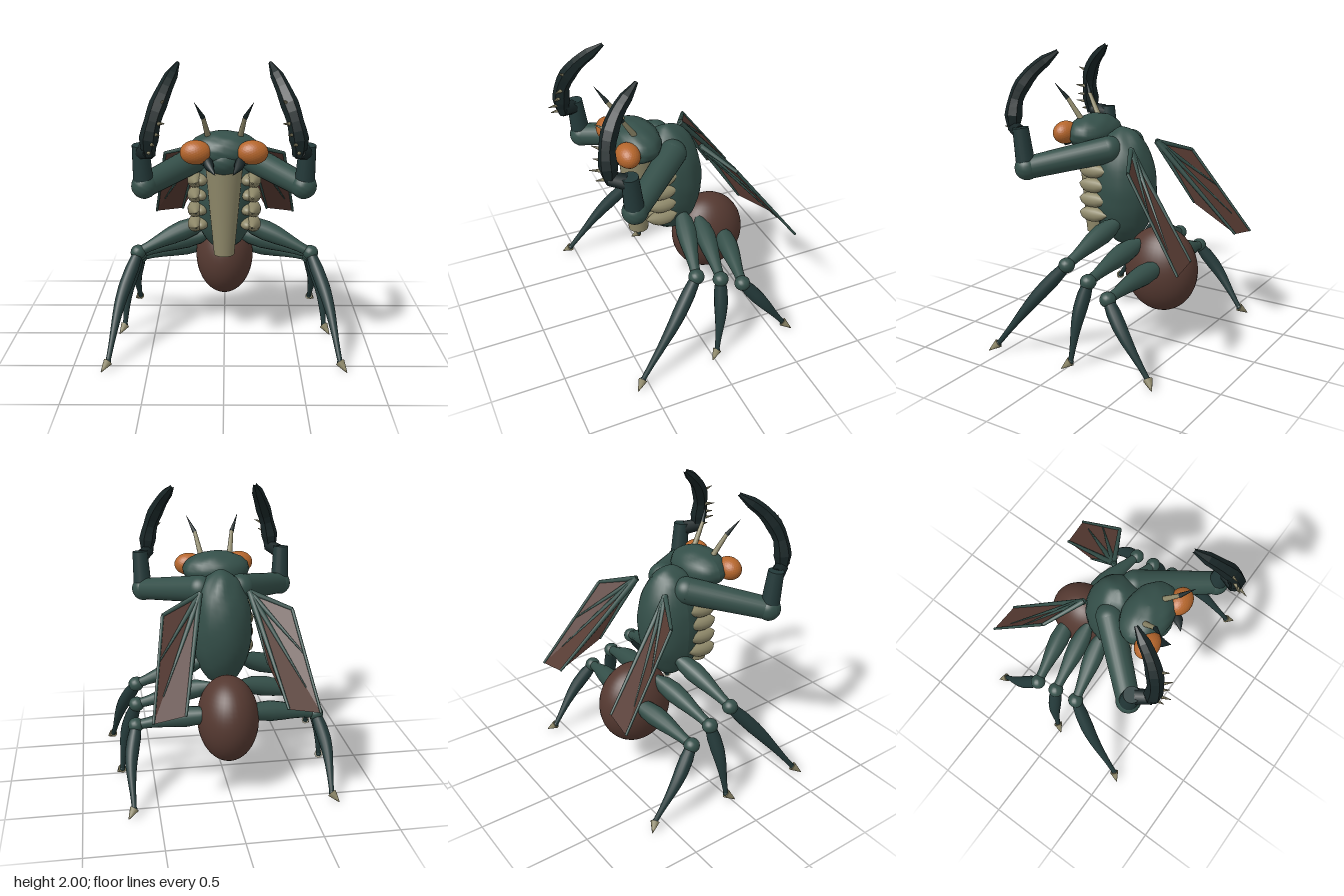
import * as THREE from 'three';

const paint = (name, color) => {
  const m = new THREE.MeshStandardMaterial({ color });
  m.name = name;
  return m;
};
const V = (x, y, z) => new THREE.Vector3(x, y, z);

export function createModel() {
  const shell = paint('green shell', 0x344f49);
  const limbDark = paint('dark limb', 0x243a3a);
  const clawDark = paint('claw black', 0x182526);
  const brown = paint('brown', 0x553931);
  brown.side = THREE.DoubleSide;
  const bone = paint('bone', 0x8f896a);
  const orange = paint('eye orange', 0xb5662c);

  const model = new THREE.Group();
  model.name = 'mantisCreature';

  const add = (name, geometry, material, parent = model) => {
    const mesh = new THREE.Mesh(geometry, material);
    mesh.name = name;
    parent.add(mesh);
    return mesh;
  };

  const facet = (g) => {
    const flat = g.index ? g.toNonIndexed() : g;
    flat.computeVertexNormals();
    return flat;
  };

  // Ellipsoid with optional lumpy surface
  const blob = (c, r, lump = 0) => {
    const g = new THREE.SphereGeometry(1, 36, 26);
    const p = g.attributes.position;
    const v = V(0, 0, 0);
    for (let i = 0; i < p.count; i++) {
      v.fromBufferAttribute(p, i);
      const n = Math.sin(v.x * 9 + v.y * 5) * Math.sin(v.y * 11 - v.z * 4) + Math.sin(v.z * 10 + v.x * 6) * 0.6;
      v.multiplyScalar(1 + lump * n);
      p.setXYZ(i, v.x * r[0] + c[0], v.y * r[1] + c[1], v.z * r[2] + c[2]);
    }
    if (lump) g.computeVertexNormals();
    else g.copy(new THREE.SphereGeometry(1, 36, 26).scale(...r).translate(...c));
    return g;
  };

  // Round limb along a path, its radius read from an evenly spaced list
  const limb = (points, radii, sides = 14, segments = 18) => {
    const curve = new THREE.CatmullRomCurve3(points);
    const g = new THREE.TubeGeometry(curve, segments, 1, sides);
    const p = g.attributes.position;
    const v = V(0, 0, 0);
    for (let i = 0; i <= segments; i++) {
      const c = curve.getPointAt(i / segments);
      const f = (i / segments) * (radii.length - 1);
      const k = Math.min(Math.floor(f), radii.length - 2);
      const r = THREE.MathUtils.lerp(radii[k], radii[k + 1], f - k);
      for (let j = 0; j <= sides; j++) {
        const id = i * (sides + 1) + j;
        v.fromBufferAttribute(p, id).sub(c).multiplyScalar(r).add(c);
        p.setXYZ(id, v.x, v.y, v.z);
      }
    }
    return g;
  };

  // Capped cone or cylinder between two points
  const rod = (a, b, r0, r1, sides = 10) => {
    const d = b.clone().sub(a);
    const g = new THREE.CylinderGeometry(r1, r0, d.length(), sides);
    g.applyQuaternion(new THREE.Quaternion().setFromUnitVectors(V(0, 1, 0), d.normalize()));
    const m = a.clone().add(b).multiplyScalar(0.5);
    return g.translate(m.x, m.y, m.z);
  };

  // Body
  add('thorax', blob([0, 1.07, 0.02], [0.215, 0.405, 0.23], 0.014), shell);
  add('head', blob([0, 1.425, 0.255], [0.235, 0.125, 0.16], 0.016), shell);
  add('face', blob([0, 1.37, 0.3], [0.13, 0.1, 0.12], 0.01), shell);
  add('abdomen', blob([0, 0.527, -0.285], [0.208, 0.297, 0.262]), brown);
  add('chestPlate', rod(V(0, 0.71, 0.247), V(0, 1.31, 0.247), 0.068, 0.122, 32), bone);

  // Hip, knee, ankle and toe of each leg on one side
  const legs = [
    { name: 'front', hip: [0.13, 0.85, -0.02], knee: [0.595, 0.66, 0.08], ankle: [0.765, 0.06, 0.54], toe: [0.805, 0.01, 0.592] },
    { name: 'middle', hip: [0.1, 0.72, -0.17], knee: [0.605, 0.585, -0.095], ankle: [0.72, 0.06, -0.03], toe: [0.755, 0.01, 0.02] },
    { name: 'rear', hip: [0.12, 0.59, -0.34], knee: [0.62, 0.505, -0.255], ankle: [0.665, 0.06, -0.58], toe: [0.705, 0.015, -0.63] },
  ];

  for (const s of [1, -1]) {
    const side = new THREE.Group();
    side.name = s > 0 ? 'leftSide' : 'rightSide';
    model.add(side);
    const P = (x, y, z) => V(s * x, y, z);
    const put = (name, g, m) => add(name, g, m, side);

    // Head details
    put('eye', facet(new THREE.IcosahedronGeometry(1, 5).scale(0.1, 0.078, 0.078).translate(s * 0.18, 1.435, 0.375)), orange);
    put('antennaBase', rod(P(0.1, 1.51, 0.29), P(0.132, 1.665, 0.39), 0.02, 0.013), bone);
    put('antennaTip', rod(P(0.132, 1.66, 0.387), P(0.182, 1.765, 0.457), 0.016, 0.001), clawDark);
    put('mandible', limb([P(0.11, 1.4, 0.36), P(0.095, 1.36, 0.42), P(0.055, 1.31, 0.475)], [0.035, 0.032, 0.001], 10), clawDark);

    // Ribs: spindle pods with lengthwise ridges
    for (let i = 0; i < 4; i++) {
      const y = 1.2 - i * 0.102;
      put('rib', limb([P(0.185, y, 0.035), P(0.195, y, 0.15), P(0.185, y, 0.26)],
        [0.004, 0.034, 0.05, 0.052, 0.05, 0.034, 0.004], 14), bone);
      put('ribRoot', blob([s * 0.155, y, 0.15], [0.05, 0.04, 0.085]), bone);
    }

    // Raised arm
    put('upperArm', rod(P(0.14, 1.345, 0.05), P(0.5, 1.24, 0.46), 0.092, 0.076, 24), shell);
    put('shoulder', blob([s * 0.14, 1.345, 0.05], [0.092, 0.092, 0.092]), shell);
    put('elbow', blob([s * 0.5, 1.24, 0.46], [0.082, 0.082, 0.082], 0.01), shell);
    put('forearm', rod(P(0.505, 1.26, 0.465), P(0.515, 1.51, 0.492), 0.064, 0.053, 20), limbDark);
    put('claw', facet(limb([P(0.45, 1.46, 0.59), P(0.455, 1.54, 0.6), P(0.42, 1.7, 0.59), P(0.36, 1.85, 0.51), P(0.285, 1.995, 0.345)],
      [0.035, 0.06, 0.05, 0.055, 0.046, 0.04, 0.012], 6, 12)), clawDark);
    put('clawBase', rod(P(0.5, 1.47, 0.51), P(0.45, 1.49, 0.6), 0.05, 0.045, 8), clawDark);
    const spines = [
      [0.385, 1.77, 0.56, 0.35, 1.81, 0.635], [0.415, 1.66, 0.59, 0.35, 1.675, 0.665],
      [0.43, 1.6, 0.6, 0.38, 1.605, 0.67], [0.445, 1.54, 0.6, 0.41, 1.55, 0.705],
      [0.455, 1.49, 0.6, 0.445, 1.49, 0.68],
    ];
    for (const q of spines) {
      put('clawSpine', rod(P(q[0], q[1], q[2]), P(q[3], q[4], q[5]), 0.019, 0.002, 7), bone);
    }

    // Walking legs
    for (const leg of legs) {
      const [hip, knee, ankle, toe] = [leg.hip, leg.knee, leg.ankle, leg.toe].map((q) => P(...q));
      const midFemur = hip.clone().lerp(knee, 0.45).add(V(0, 0.012, 0));
      const midTibia = knee.clone().lerp(ankle, 0.45).add(V(s * 0.025, 0.01, 0));
      put(leg.name + 'Femur', limb([hip, midFemur, knee], [0.03, 0.062, 0.07, 0.062, 0.048, 0.036, 0.032]), shell);
      put(leg.name + 'Knee', blob(knee.toArray(), [0.053, 0.05, 0.053], 0.01), shell);
      put(leg.name + 'Tibia', limb([knee, midTibia, ankle], [0.034, 0.046, 0.046, 0.038, 0.028, 0.02, 0.016]), limbDark);
      put(leg.name + 'Ankle', blob(ankle.toArray(), [0.02, 0.02, 0.02]), limbDark);
      put(leg.name + 'Toe', rod(ankle, toe, 0.032, 0.003, 8), bone);
    }

    // Wing membrane with tapering veins
    const root = P(0.165, 1.37, -0.14), bend = P(0.425, 1.28, -0.28), tip = P(0.53, 0.72, -0.7);
    const innerTip = P(0.325, 0.75, -0.68), inner = P(0.245, 0.95, -0.4);
    const wing = new THREE.BufferGeometry().setFromPoints([root, bend, tip, root, tip, innerTip, root, innerTip, inner]);
    wing.computeVertexNormals();
    put('wingMembrane', wing, brown);
    const veins = [
      [root, bend, 0.018, 0.012], [bend, tip, 0.011, 0.009], [root, innerTip, 0.02, 0.009],
      [root, bend.clone().lerp(tip, 0.45), 0.02, 0.004],
      [root, root.clone().lerp(tip, 0.8), 0.022, 0.004],
      [root, inner, 0.018, 0.006],
    ];
    for (const [a, b, r0, r1] of veins) put('wingVein', rod(a, b, r0, r1, 8), shell);
  }
  return model;
}
